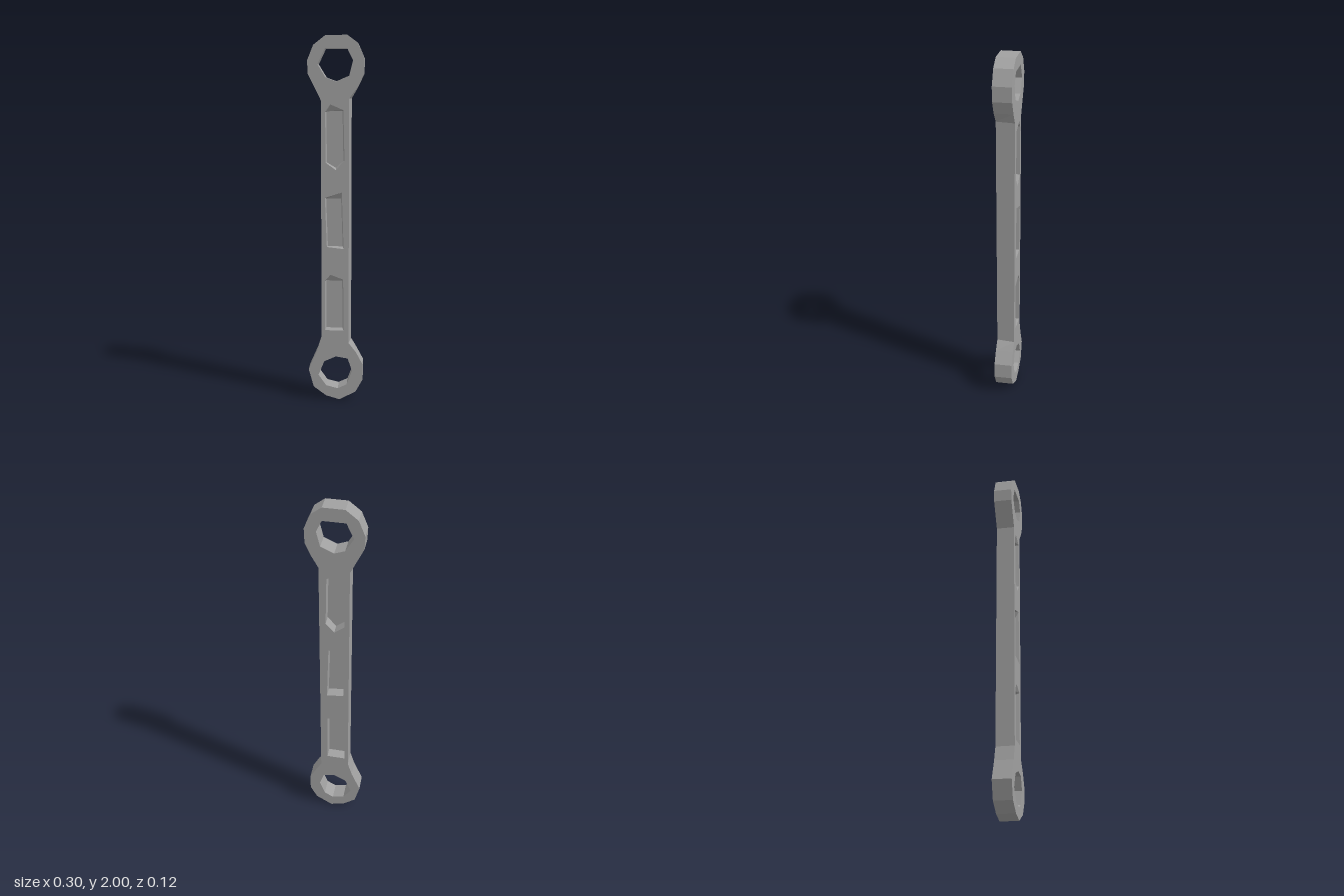
import * as THREE from 'three';

const BACK = -0.052, FRONT = 0.048;

const outline = [
  // upper ring, clockwise from the left neck
  [-0.08, 1.66], [-0.12, 1.74], [-0.15, 1.8], [-0.153, 1.87], [-0.12, 1.95], [-0.055, 2], [0.06, 2],
  [0.115, 1.96], [0.15, 1.88], [0.148, 1.8], [0.115, 1.73], [0.08, 1.67],
  // lower ring, clockwise from the right neck
  [0.08, 0.33], [0.11, 0.28], [0.148, 0.21], [0.148, 0.12], [0.11, 0.05], [0.02, 0], [-0.055, 0.02],
  [-0.125, 0.07], [-0.153, 0.17], [-0.105, 0.28], [-0.08, 0.36],
];

const eyes = [
  [[-0.06, 1.93], [0.06, 1.93], [0.09, 1.87], [0.07, 1.79], [0, 1.76], [-0.055, 1.78], [-0.098, 1.85]],
  [[0, 0.25], [0.065, 0.24], [0.09, 0.17], [0.06, 0.09], [0.01, 0.065], [-0.055, 0.08], [-0.098, 0.14], [-0.065, 0.22]],
];

const pockets = [
  [[-0.058, 1.6], [-0.03, 1.64], [0.04, 1.61], [0.046, 1.34], [0, 1.29], [-0.055, 1.33]],
  [[-0.06, 1.14], [0.032, 1.17], [0.042, 0.86], [-0.05, 0.87]],
  [[-0.06, 0.68], [-0.03, 0.715], [0.04, 0.69], [0.042, 0.4], [-0.06, 0.4]],
];

const toPoints = (list) => list.map(([x, y]) => new THREE.Vector2(x, y));

// Slight twist of the thickness across the width
function skew(geometry) {
  const p = geometry.attributes.position;
  for (let i = 0; i < p.count; i++) p.setZ(i, p.getZ(i) + 0.05 * p.getX(i));
  geometry.computeVertexNormals();
  return geometry;
}

// Front recess: sloping walls down to a flat floor
function recess(rim) {
  const cx = rim.reduce((s, p) => s + p[0], 0) / rim.length;
  const ys = rim.map((p) => p[1]);
  const top = Math.max(...ys) - 0.035, low = Math.min(...ys) + 0.012;
  const inner = rim.map(([x, y]) => [cx + (x - cx) * 0.88, Math.min(top, Math.max(low, y))]);
  const center = [cx, (top + low) / 2, 0.03];
  const v = [];
  rim.forEach((a, i) => {
    const j = (i + 1) % rim.length;
    const A = [...a, FRONT], B = [...rim[j], FRONT];
    const C = [...inner[i], 0.03], D = [...inner[j], 0.03];
    v.push(...A, ...B, ...C, ...B, ...D, ...C, ...C, ...D, ...center);
  });
  const g = new THREE.BufferGeometry();
  g.setAttribute('position', new THREE.Float32BufferAttribute(v, 3));
  return skew(g);
}

export function createModel() {
  const group = new THREE.Group();
  group.name = 'linkArm';
  const steel = new THREE.MeshStandardMaterial({ color: 0xa0a0a0, flatShading: true, side: THREE.DoubleSide });
  steel.name = 'grey steel';

  const add = (geometry, name) => {
    const mesh = new THREE.Mesh(geometry, steel);
    mesh.name = name;
    group.add(mesh);
  };

  // Bar with a ring at each end
  const shape = new THREE.Shape(toPoints(outline));
  [...eyes, ...pockets].forEach((h) => shape.holes.push(new THREE.Path(toPoints(h))));
  const body = new THREE.ExtrudeGeometry(shape, { depth: FRONT - BACK, bevelEnabled: false });
  body.translate(0, 0, BACK);
  // Lean the right flank of the bar inwards at the front
  const p = body.attributes.position;
  for (let i = 0; i < p.count; i++) {
    if (p.getZ(i) > 0 && Math.abs(p.getX(i) - 0.08) < 0.001) p.setX(i, 0.07);
  }
  add(skew(body), 'barAndRings');

  // Pocket floors: shallow at the front, deep at the back
  pockets.forEach((rim, i) => {
    add(recess(rim), `frontPocket${i + 1}`);
    const floor = new THREE.ShapeGeometry(new THREE.Shape(toPoints(rim)));
    floor.translate(0, 0, 0.01);
    floor.setIndex([...floor.index.array].reverse());
    add(skew(floor), `backPocket${i + 1}`);
  });
  return group;
}
